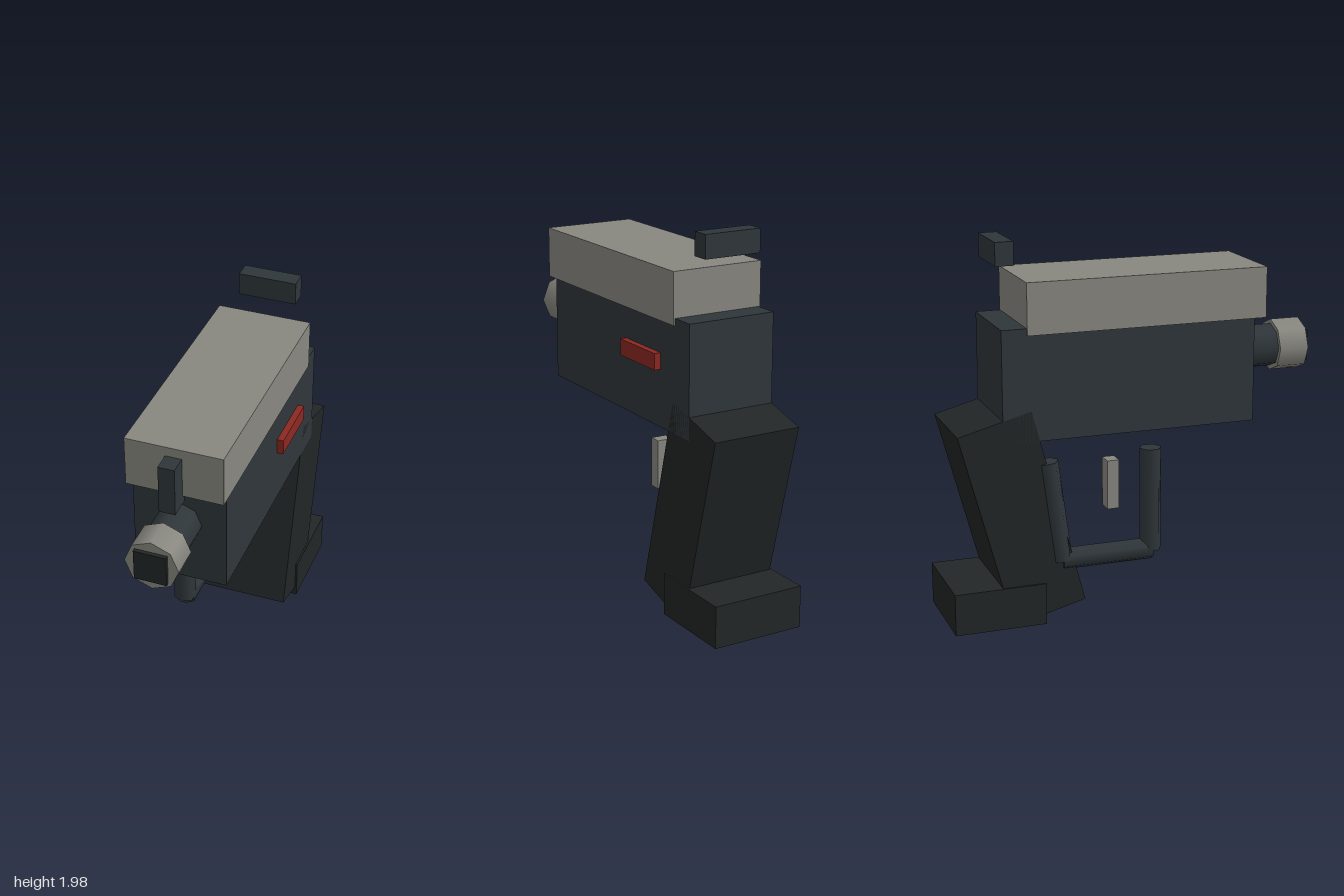
import * as THREE from 'three';

export function createModel() {
  const model = new THREE.Group();
  const steel = new THREE.MeshStandardMaterial({ color: 0x2f363a });
  const black = new THREE.MeshStandardMaterial({ color: 0x222626 });
  const silver = new THREE.MeshStandardMaterial({ color: 0x888780 });
  const red = new THREE.MeshStandardMaterial({ color: 0x8c2822 });
  const midX = -0.01;

  const add = (name, geometry, material, x, y, z) => {
    const mesh = new THREE.Mesh(geometry, material);
    mesh.name = name;
    mesh.position.set(x, y, z);
    model.add(mesh);
    return mesh;
  };

  // Box given by its extents along each axis
  const box = (name, material, [x0, x1], [y0, y1], [z0, z1]) =>
    add(name, new THREE.BoxGeometry(x1 - x0, y1 - y0, z1 - z0), material,
      (x0 + x1) / 2, (y0 + y1) / 2, (z0 + z1) / 2);

  // Cylinder lying along z
  const tube = (name, material, radius, z0, z1, sides) => {
    const geometry = new THREE.CylinderGeometry(radius, radius, z1 - z0, sides).rotateX(Math.PI / 2);
    return add(name, geometry, material, midX, 1.318, (z0 + z1) / 2);
  };

  // Receiver and slide
  box('body', steel, [-0.25, 0.23], [0.98, 1.56], [-0.73, 0.62]);
  box('slide', silver, [-0.26, 0.24], [1.525, 1.79], [-0.6, 0.68]);
  box('sidePanel', red, [0.225, 0.264], [1.275, 1.36], [-0.465, -0.13]);

  // Sights
  box('frontSight', steel, [-0.052, 0.032], [1.48, 1.74], [0.655, 0.775]);
  box('rearSight', steel, [-0.165, 0.145], [1.86, 1.98], [-0.73, -0.635]);

  // Barrel, muzzle and bore
  tube('barrel', steel, 0.115, 0.5, 0.82, 8);
  tube('muzzle', silver, 0.138, 0.82, 0.98, 8);
  box('bore', black, [-0.093, 0.073], [1.235, 1.4], [0.9, 1]);

  // Raked grip on a flat base
  const grip = add('grip', new THREE.BoxGeometry(0.48, 1.067, 0.395), black, midX, 0.572, -0.635);
  grip.rotation.x = -0.26;
  box('gripBase', black, [-0.26, 0.24], [0, 0.22], [-1, -0.52]);

  // Trigger
  box('trigger', silver, [-0.052, 0.032], [0.51, 0.775], [-0.115, -0.05]);

  // Trigger guard: six-sided rods joining points on one side plane
  const guardPath = [[0.88, 0.062], [0.33, 0.062], [0.33, -0.425], [0.86, -0.495]];
  for (let i = 0; i < guardPath.length - 1; i++) {
    const [y0, z0] = guardPath[i];
    const [y1, z1] = guardPath[i + 1];
    const length = Math.hypot(y1 - y0, z1 - z0);
    const rod = add('guardRod' + (i + 1), new THREE.CylinderGeometry(0.059, 0.059, length, 6), steel,
      -0.217, (y0 + y1) / 2, (z0 + z1) / 2);
    rod.rotation.x = Math.atan2(z1 - z0, y1 - y0);
  }

  return model;
}
